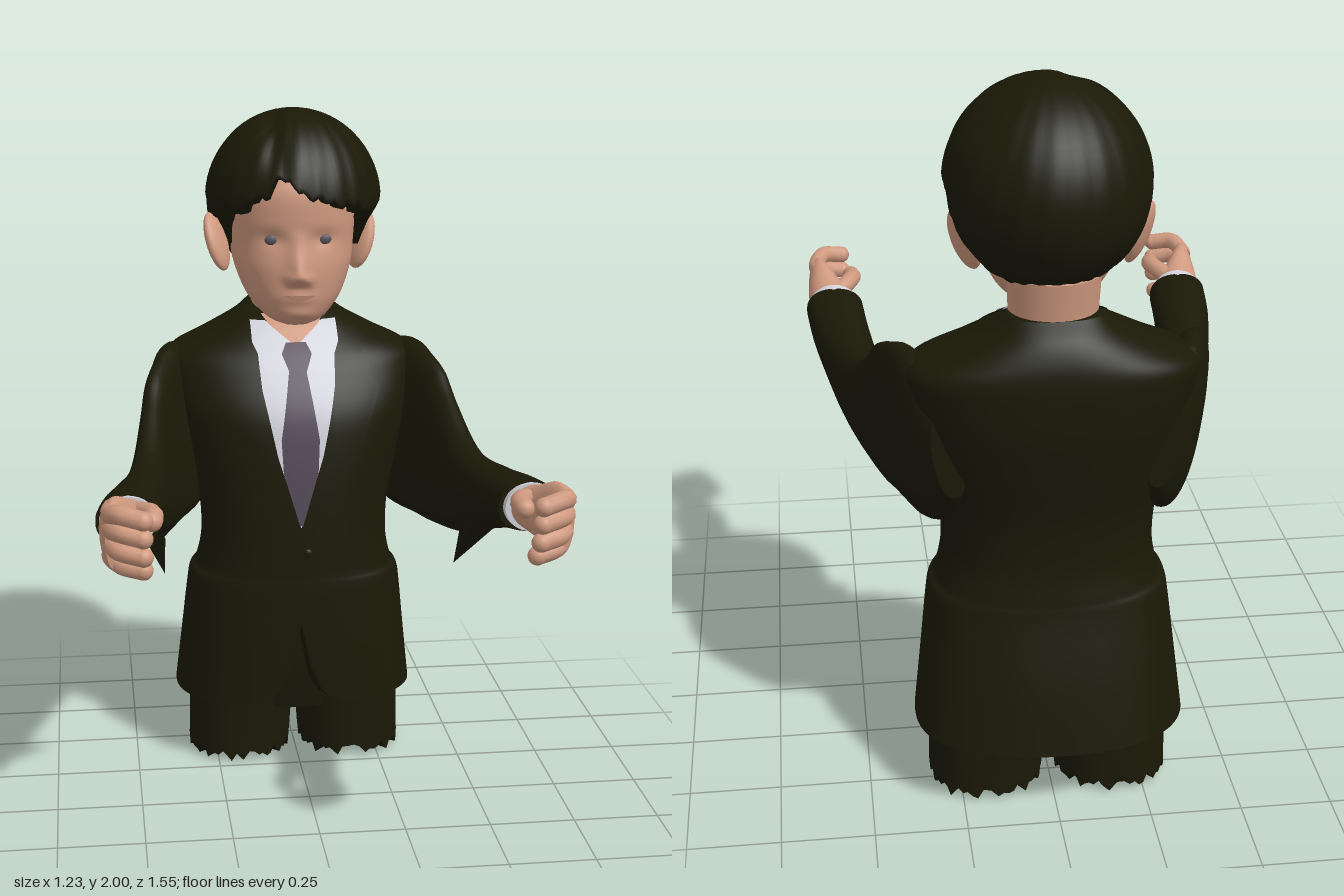
import * as THREE from 'three';
import { ConvexGeometry } from 'three/addons/geometries/ConvexGeometry.js';

const mat = (name, color, side = THREE.FrontSide) => {
  const m = new THREE.MeshStandardMaterial({ color, side });
  m.name = name;
  return m;
};
const M = {
  suit: mat('suit cloth', 0x1a1907, THREE.DoubleSide),
  hair: mat('dark hair', 0x1a1907, THREE.DoubleSide),
  skin: mat('skin', 0xcf997f, THREE.DoubleSide),
  shirt: mat('shirt', 0xd3d3dc, THREE.DoubleSide),
  tie: mat('tie', 0x544a5a, THREE.DoubleSide),
  lips: mat('lips', 0xbd866f, THREE.DoubleSide),
  eye: mat('eye', 0x57525c),
};

// Smoothly subdivide a list of cross-sections (Catmull-Rom per column)
function smooth(rows, k = 7) {
  const out = [], at = i => rows[Math.max(0, Math.min(rows.length - 1, i))];
  for (let i = 0; i < rows.length - 1; i++) for (let s = 0; s < k; s++) {
    const t = s / k, [a, b, c, d] = [at(i - 1), at(i), at(i + 1), at(i + 2)];
    out.push(b.map((v, q) => v + 0.5 * t * (c[q] - a[q] + t * (2 * a[q] - 5 * v + 4 * c[q] - d[q]
      + t * (3 * (v - c[q]) + d[q] - a[q])))));
  }
  out.push(rows[rows.length - 1]);
  return out;
}

function geometry(pos, idx) {
  const g = new THREE.BufferGeometry();
  g.setAttribute('position', new THREE.Float32BufferAttribute(pos, 3));
  g.setIndex(idx);
  g.computeVertexNormals();
  return g;
}

// Closed skin over superellipse sections [t, cx, c2, rx, r2] stacked along y or z
function loft(rows, axis = 'y', segs = 40, n = 2, deform = null) {
  const pos = [], idx = [], e = 2 / n, flip = axis === 'z';
  const tri = (a, b, c) => flip ? idx.push(a, c, b) : idx.push(a, b, c);
  const ring = r => {
    const start = pos.length / 3, [t, cx, c2, rx, r2] = rows[r];
    for (let j = 0; j < segs; j++) {
      const a = j / segs * Math.PI * 2, s = Math.sin(a), c = Math.cos(a);
      const x = cx + rx * Math.sign(s) * Math.abs(s) ** e;
      const w = c2 + r2 * Math.sign(c) * Math.abs(c) ** e;
      const p = flip ? new THREE.Vector3(x, w, t) : new THREE.Vector3(x, t, w);
      if (deform) deform(p, r, j);
      pos.push(p.x, p.y, p.z);
    }
    return start;
  };
  rows.forEach((_, r) => ring(r));
  for (let r = 0; r < rows.length - 1; r++) for (let j = 0; j < segs; j++) {
    const a = r * segs + j, b = r * segs + (j + 1) % segs;
    tri(a, b, a + segs);
    tri(b, b + segs, a + segs);
  }
  for (const r of [0, rows.length - 1]) {
    const start = ring(r), [t, cx, c2] = rows[r], mid = pos.length / 3;
    pos.push(cx, flip ? c2 : t, flip ? t : c2);
    for (let j = 0; j < segs; j++) {
      const a = start + j, b = start + (j + 1) % segs;
      r ? tri(a, b, mid) : tri(b, a, mid);
    }
  }
  return geometry(pos, idx);
}

// Front surface of a y-loft at x, y
function frontZ(rows, n, x, y) {
  let i = 0;
  while (i < rows.length - 2 && rows[i + 1][0] < y) i++;
  const a = rows[i], b = rows[i + 1], t = THREE.MathUtils.clamp((y - a[0]) / (b[0] - a[0]), 0, 1);
  const [, cx, cz, rx, rz] = a.map((v, q) => v + (b[q] - v) * t);
  return cz + rz * Math.max(0, 1 - Math.abs((x - cx) / rx) ** n) ** (1 / n);
}

// Thin sheet lying on a front surface, rows are [y, xLeft, xRight] from top to bottom
function patch(surface, n, rows, lift, s = 1) {
  const pos = [], idx = [], cols = 8, k = 6;
  const all = rows.slice(0, -1).flatMap((r, i) =>
    [...Array(k).keys()].map(q => r.map((v, c) => v + (rows[i + 1][c] - v) * q / k)));
  all.push(rows[rows.length - 1]);
  all.forEach(([y, l, r], i) => {
    const [x0, x1] = s > 0 ? [l, r] : [-r, -l];
    for (let c = 0; c <= cols; c++) {
      const x = x0 + (x1 - x0) * c / cols;
      pos.push(x, y, frontZ(surface, n, x, y) + lift);
      if (i && c) {
        const d = i * (cols + 1) + c, u = d - cols - 1;
        idx.push(u - 1, d - 1, d, u - 1, d, u);
      }
    }
  });
  return geometry(pos, idx);
}

// [y, halfWidth, zFront, zBack] to loft rows
const depthRows = a => smooth(a.map(([y, rx, f, b]) => [y, 0, (f + b) / 2, rx, (f - b) / 2]));

const TORSO = depthRows([[0.21, 0.37, -0.207, -0.75], [0.4, 0.348, -0.203, -0.715], [0.55, 0.331, -0.203, -0.68],
  [0.6, 0.322, -0.204, -0.67], [0.63, 0.302, -0.205, -0.665], [0.72, 0.285, -0.206, -0.655], [0.85, 0.293, -0.21, -0.665],
  [1.0, 0.33, -0.22, -0.7], [1.12, 0.362, -0.24, -0.725], [1.22, 0.378, -0.29, -0.735], [1.28, 0.365, -0.33, -0.735],
  [1.33, 0.265, -0.375, -0.725], [1.38, 0.17, -0.43, -0.7], [1.42, 0.12, -0.52, -0.66]]);
const HEAD = depthRows([[1.38, 0.04, -0.31, -0.4], [1.395, 0.078, -0.285, -0.46], [1.42, 0.108, -0.268, -0.53],
  [1.47, 0.145, -0.255, -0.6], [1.55, 0.175, -0.25, -0.66], [1.62, 0.185, -0.257, -0.69], [1.7, 0.19, -0.25, -0.71],
  [1.78, 0.183, -0.255, -0.71], [1.86, 0.14, -0.3, -0.66]]);

// Nose, eye sockets, lips and chin modelled into the front of the head
function faceRelief(p) {
  if (p.z < -0.4) return;
  const bump = (x, w, y, h) => Math.exp(-(((Math.abs(p.x) - x) / w) ** 2) - ((p.y - y) / h) ** 2);
  const slope = p.y > 1.53 ? Math.max(0, 1 - (p.y - 1.53) / 0.14) : Math.max(0, 1 - (1.53 - p.y) / 0.028);
  p.z += 0.043 * slope * Math.exp(-((p.x / 0.028) ** 2)) + 0.014 * bump(0.026, 0.016, 1.524, 0.016)
    - 0.012 * bump(0.075, 0.04, 1.64, 0.024) + 0.008 * bump(0, 0.05, 1.468, 0.02) + 0.008 * bump(0, 0.05, 1.42, 0.02);
}

// Hair shell with a shaped, ragged lower edge, sideburns drawn in to the cheeks
function hairGeometry() {
  const left = [[0, 1.78], [14, 1.75], [30, 1.74], [45, 1.72], [62, 1.7], [72, 1.66], [78, 1.6], [86, 1.595], [93, 1.69],
    [106, 1.66], [116, 1.55], [130, 1.51], [180, 1.51]];
  const right = [[0, 1.78], [10, 1.8], [16, 1.83], [24, 1.77], [40, 1.73], ...left.slice(4)];
  const edge = d => {
    const tab = d < 0 ? right : left, a = Math.abs(d);
    const i = Math.max(1, tab.findIndex(p => p[0] >= a)), [p, q] = [tab[i - 1], tab[i]];
    return p[1] + (q[1] - p[1]) * (a - p[0]) / (q[0] - p[0]);
  };
  const segs = 120, rows = 22, pos = [], idx = [];
  for (let i = 0; i <= rows; i++) for (let j = 0; j < segs; j++) {
    const a = (j / segs * 2 - 1) * Math.PI, d = a * 180 / Math.PI;
    const ragged = Math.abs(d) < 62 ? 0.008 * Math.sin(j * 1.9) + 0.006 * Math.sin(j * 0.8) : 0.004 * (j % 2);
    const u = Math.min(1, i / (rows - 1)), phi = u * Math.acos((edge(d) + ragged - 1.73) / 0.27);
    const x0 = Math.sin(a) * Math.sin(phi) * 0.262, front = Math.max(0, Math.cos(a));
    const r = 1 + 0.008 * u * Math.sin(a * 24 + phi * 3)
      - 0.06 * front * (1 - u ** 4) * Math.exp(-(((x0 + 0.075) / 0.03) ** 2));
    const y = 1.73 + Math.cos(phi) * 0.27 * r, inset = i === rows ? 0.8 : 1;
    const cheek = Math.abs(d) < 100 ? 1 - 0.16 * THREE.MathUtils.smoothstep(1.75 - y, 0, 0.11) : 1;
    pos.push(0.008 + x0 * r * inset * cheek, y, -0.487 + Math.cos(a) * Math.sin(phi) * 0.287 * r * inset);
    if (i) {
      const c = i * segs + j, e = i * segs + (j + 1) % segs;
      idx.push(c, e, c - segs, e, e - segs, c - segs);
    }
  }
  return geometry(pos, idx);
}

export function createModel() {
  const model = new THREE.Group();
  model.name = 'boyInSuit';
  const add = (name, geo, material, parent = model) => {
    const m = new THREE.Mesh(geo, material);
    m.name = name;
    parent.add(m);
    return m;
  };
  const ball = (name, material, p, r, parent) => {
    const m = add(name, new THREE.SphereGeometry(1, 20, 14), material, parent);
    m.position.set(...p);
    m.scale.set(...r);
    return m;
  };
  const tube = (name, pts, r, material, parent) => {
    const v = pts.map(p => new THREE.Vector3(...p));
    add(name, new THREE.TubeGeometry(new THREE.CatmullRomCurve3(v), 16, r, 10), material, parent);
    ball(name + 'Tip', material, pts[pts.length - 1], [r, r, r], parent);
  };

  // Jacket, cut away at the front hem
  const hem = x => Math.max(0.21, 0.204 + 0.27 * Math.exp(-Math.abs(x) / 0.04));
  add('jacket', loft(TORSO, 'y', 112, 2.4, p => { if (p.z > -0.4) p.y = Math.max(p.y, hem(p.x)); }), M.suit);
  add('shirtFront', patch(TORSO, 2.4, [[1.37, -0.12, 0.12], [1.2, -0.11, 0.11], [1, -0.07, 0.07], [0.78, 0, 0]], 0.004), M.shirt);
  add('throat', patch(TORSO, 2.4, [[1.39, -0.095, 0.095], [1.365, -0.075, 0.075], [1.315, -0.01, 0.01]], 0.009), M.skin);
  add('tieKnot', patch(TORSO, 2.4, [[1.32, -0.03, 0.03], [1.29, -0.045, 0.045], [1.24, -0.025, 0.025]], 0.02), M.tie);
  add('tieBlade', patch(TORSO, 2.4, [[1.25, -0.025, 0.025], [1.05, -0.057, 0.057], [0.95, -0.052, 0.052], [0.79, -0.005, 0.005]], 0.01), M.tie);
  ball('button', M.suit, [0.02, 0.7, -0.206], [0.014, 0.014, 0.007]);

  // Trouser seat
  add('trouserSeat', loft(smooth([[0.17, 0, -0.46, 0.29, 0.17], [0.3, 0, -0.455, 0.3, 0.19], [0.5, 0, -0.45, 0.28, 0.2]])), M.suit);

  // Neck, open shirt collar and head
  add('neck', loft(smooth([[1.27, 0, -0.53, 0.125, 0.13], [1.38, 0, -0.545, 0.115, 0.11], [1.52, 0, -0.56, 0.12, 0.115]])), M.skin);
  const gap = 0.75;
  const collar = add('shirtCollar', new THREE.CylinderGeometry(0.122, 0.142, 0.075, 36, 1, true, gap, 2 * Math.PI - 2 * gap), M.shirt);
  collar.position.set(0, 1.36, -0.535);
  collar.rotation.x = 0.3;
  add('head', loft(HEAD, 'y', 112, 2.2, faceRelief), M.skin);
  add('hair', hairGeometry(), M.hair);
  add('mouth', patch(HEAD, 2.2, [[1.478, -0.05, 0.05], [1.47, -0.035, 0.035], [1.463, -0.015, 0.015]], 0.011), M.lips);

  for (const s of [1, -1]) {
    const group = new THREE.Group();
    group.name = s > 0 ? 'leftSide' : 'rightSide';
    model.add(group);

    // Eye and ear
    ball('eye', M.eye, [0.078 * s, 1.638, frontZ(HEAD, 2.2, 0.078, 1.638) - 0.01], [0.02, 0.015, 0.008], group);
    const ear = ball('ear', M.skin, [0.22 * s, 1.6, -0.525], [0.026, 0.092, 0.058], group);
    ear.rotation.set(-0.2, 0.5 * s, -0.25 * s);

    // Collar point, lapels and pockets
    add('collarPoint', patch(TORSO, 2.4, [[1.375, 0.085, 0.13], [1.32, 0.03, 0.13], [1.24, 0.085, 0.09]], 0.017, s), M.shirt, group);
    add('lapelTop', patch(TORSO, 2.4, [[1.385, 0.115, 0.145], [1.29, 0.115, 0.2], [1.23, 0.112, 0.225]], 0.009, s), M.suit, group);
    add('lapel', patch(TORSO, 2.4, [[1.24, 0.112, 0.2], [1.19, 0.108, 0.25], [1, 0.068, 0.18], [0.78, 0, 0.03]], 0.009, s), M.suit, group);
    add('pocketFlap', patch(TORSO, 2.4, [[0.51, 0.15, 0.28], [0.46, 0.15, 0.285]], 0.008, s), M.suit, group);

    // Leg with a torn end
    const leg = [[0.0, 0.175 * s, -0.455, 0.157, 0.175], [0.12, 0.17 * s, -0.455, 0.16, 0.178], [0.3, 0.16 * s, -0.455, 0.165, 0.185]];
    add('trouserLeg', loft(smooth(leg), 'y', 72, 2.4, (p, r, j) => {
      if (p.y < 0.05) p.y += (1 - p.y / 0.05) * (0.02 + 0.02 * Math.sin(j * 1.7 + s) * Math.cos(j * 0.45));
    }), M.suit, group);

    // Sleeve leaning outward at the shoulder, hanging cloth point and cuff
    const sleeve = [[-0.64, 0.27, 1.06, 0.04, 0.12], [-0.57, 0.307, 1.065, 0.062, 0.215], [-0.46, 0.337, 1.048, 0.07, 0.25],
      [-0.38, 0.365, 1.032, 0.062, 0.243], [-0.3, 0.395, 1.015, 0.055, 0.225], [-0.2, 0.424, 0.98, 0.054, 0.19],
      [0, 0.462, 0.945, 0.062, 0.127], [0.2, 0.495, 0.98, 0.077, 0.092], [0.35, 0.518, 1.012, 0.083, 0.077],
      [0.485, 0.53, 1.035, 0.085, 0.067]];
    add('sleeve', loft(smooth(sleeve.map(([z, x, ...r]) => [z, x * s, ...r])), 'z', 44, 2.3, p => {
      p.x += s * 0.13 * (p.y - 1) * THREE.MathUtils.clamp((0.1 - p.z) / 0.4, 0, 1);
    }), M.suit, group);
    const flap = [[0.48, 0.91, 0.27], [0.43, 0.91, 0.2], [0.46, 0.86, 0.08], [0.42, 0.86, 0.1], [0.42, 0.73, 0.02]];
    add('hangingClothPoint', new ConvexGeometry(flap.map(([x, y, z]) => new THREE.Vector3(x * s, y, z))), M.suit, group);
    add('shirtCuff', loft([[0.45, 0.528 * s, 1.035, 0.074, 0.062], [0.508, 0.532 * s, 1.04, 0.074, 0.066]], 'z', 32), M.shirt, group);

    // Hand with curled fingers
    const palm = [[0.49, 0.533, 1.04, 0.064, 0.058], [0.55, 0.546, 1.045, 0.06, 0.07], [0.61, 0.563, 1.05, 0.044, 0.09],
      [0.66, 0.573, 1.05, 0.031, 0.09], [0.69, 0.575, 1.05, 0.018, 0.075]];
    add('palm', loft(smooth(palm.map(([z, x, ...r]) => [z, x * s, ...r])), 'z', 28), M.skin, group);
    for (const [y, yEnd, z] of [[1.112, 1.125, 0.755], [1.072, 1.077, 0.748], [1.03, 1.026, 0.737], [0.99, 0.98, 0.7]]) {
      const pts = [[0.573, y, 0.62], [0.578, y, z - 0.08], [0.556, yEnd, z - 0.025], [0.5, yEnd - 0.01, z]];
      tube('finger', pts.map(([x, ...p]) => [x * s, ...p]), 0.025, M.skin, group);
    }
    const thumb = [[0.525, 1.07, 0.53], [0.488, 1.085, 0.575], [0.47, 1.088, 0.62], [0.474, 1.083, 0.655]];
    tube('thumb', thumb.map(([x, ...p]) => [x * s, ...p]), 0.026, M.skin, group);
  }
  return model;
}
